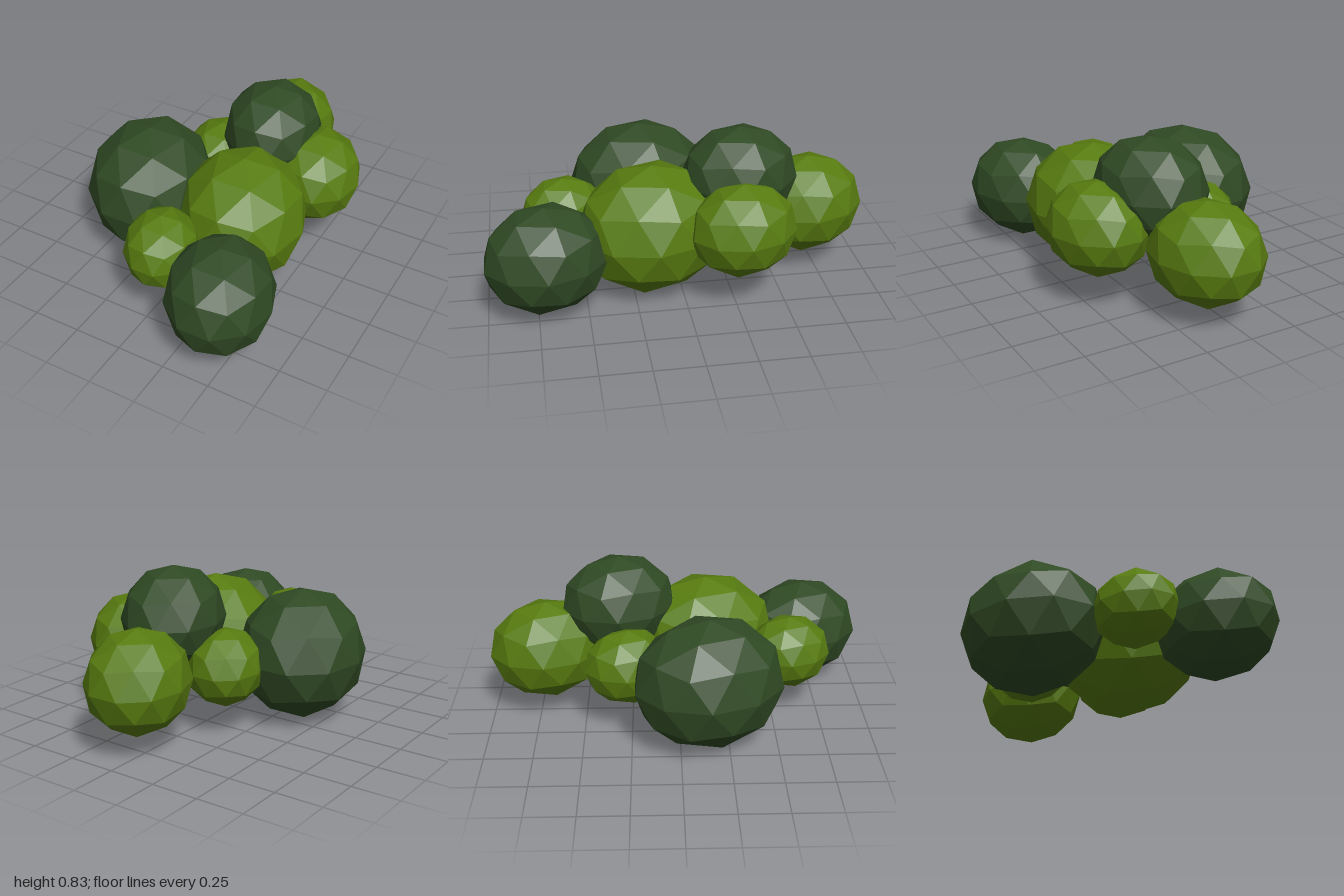
import * as THREE from 'three';

// Low-poly leaf ball: pole-up icosphere, stretched along z and slightly skewed
function leafBallGeometry() {
  const g = new THREE.IcosahedronGeometry(1, 1);
  const t = (1 + Math.sqrt(5)) / 2;
  g.rotateZ(Math.atan(1 / t)); // a corner on top
  g.rotateY(-Math.PI / 2); // upper ring corner to the back
  const stretch = 1.15, skew = 0.09;
  g.applyMatrix4(new THREE.Matrix4().set(
    1, 0, skew * stretch, 0,
    0, 1, 0, 0,
    0, 0, stretch, 0,
    0, 0, 0, 1));
  g.computeVertexNormals();
  return g;
}

export function createModel() {
  const bush = new THREE.Group();
  bush.name = 'bush';
  const geometry = leafBallGeometry();
  const dark = new THREE.MeshStandardMaterial({ color: 0x304a24, flatShading: true });
  const light = new THREE.MeshStandardMaterial({ color: 0x587c10, flatShading: true });

  // name, material, centre x y z, radius
  const balls = [
    ['largeDarkFoliage', dark, -0.337, 0.34, 0.145, 0.342],
    ['largeLightFoliage', light, 0.224, 0.34, 0.147, 0.34],
    ['topDarkFoliage', dark, 0.152, 0.562, -0.317, 0.269],
    ['frontDarkFoliage', dark, 0.396, 0.295, 0.697, 0.277],
    ['frontLightFoliage', light, 0.002, 0.34, 0.585, 0.196],
    ['backLightFoliage', light, 0.07, 0.343, -0.706, 0.266],
    ['leftLightFoliage', light, 0.432, 0.398, -0.285, 0.243],
    ['rightLightFoliage', light, -0.14, 0.335, -0.27, 0.2],
  ];
  for (const [name, material, x, y, z, r] of balls) {
    const ball = new THREE.Mesh(geometry, material);
    ball.name = name;
    ball.position.set(x, y, z);
    ball.scale.setScalar(r);
    bush.add(ball);
  }
  return bush;
}
